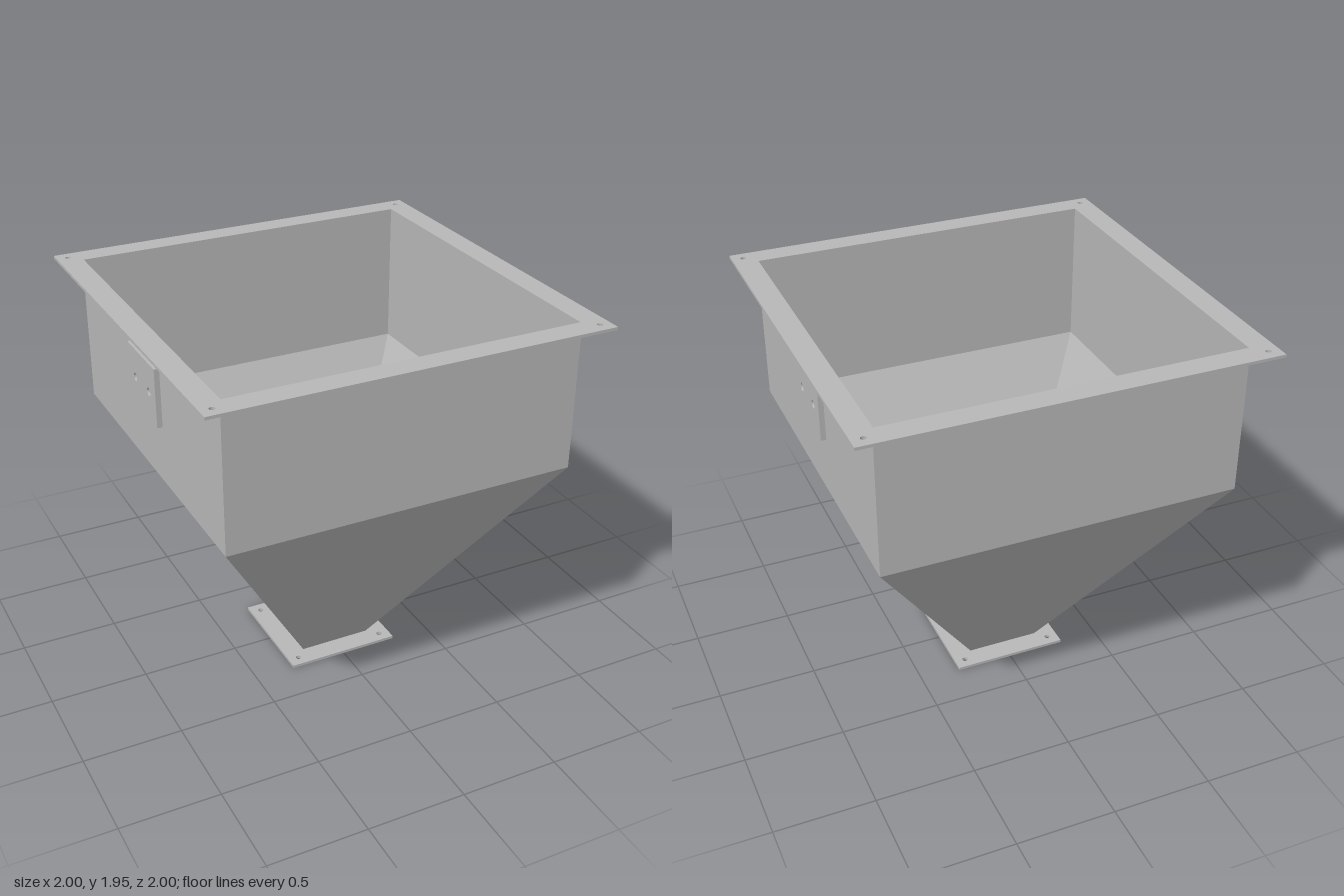
import * as THREE from 'three';

const steel = new THREE.MeshStandardMaterial({ color: 0xb8b8b8 });
steel.name = 'grey steel';

function rectPath(path, w, h) {
  path.moveTo(-w, -h);
  path.lineTo(w, -h);
  path.lineTo(w, h);
  path.lineTo(-w, h);
  path.closePath();
  return path;
}

function boltHole(x, y, r) {
  return new THREE.Path().absarc(x, y, r, 0, Math.PI * 2, true);
}

// Flat plate with half sizes w and h, cut by the given holes
function plate(name, w, h, depth, holes) {
  const shape = rectPath(new THREE.Shape(), w, h);
  shape.holes.push(...holes);
  const geometry = new THREE.ExtrudeGeometry(shape, { depth, bevelEnabled: false, curveSegments: 10 });
  const mesh = new THREE.Mesh(geometry, steel);
  mesh.name = name;
  return mesh;
}

// Square ring lying flat, with a bolt hole in each corner
function flange(name, outer, inner, boltAt, boltRadius, y, depth) {
  const holes = [rectPath(new THREE.Path(), inner, inner)];
  for (const sx of [-1, 1]) {
    for (const sy of [-1, 1]) holes.push(boltHole(sx * boltAt, sy * boltAt, boltRadius));
  }
  const mesh = plate(name, outer, outer, depth, holes);
  mesh.rotation.x = -Math.PI / 2;
  mesh.position.y = y;
  return mesh;
}

export function createModel() {
  const group = new THREE.Group();
  group.name = 'hopper';

  // Thin square shell: outside going up, then inside going down
  const profile = [
    [0.179, 0.014], [0.186, 0.014], [0.887, 1.2], [0.887, 1.934],
    [0.881, 1.934], [0.881, 1.202], [0.179, 0.014],
  ].map(([half, y]) => new THREE.Vector2(half * Math.SQRT2, y));
  const shellGeometry = new THREE.LatheGeometry(profile, 4, Math.PI / 4).toNonIndexed();
  shellGeometry.computeVertexNormals();
  const shell = new THREE.Mesh(shellGeometry, steel);
  shell.name = 'hopperShell';
  group.add(shell);

  // Inlet and outlet flanges
  group.add(flange('topFlange', 1, 0.881, 0.943, 0.014, 1.933, 0.015));
  group.add(flange('bottomFlange', 0.294, 0.179, 0.24, 0.014, 0, 0.015));

  // Mounting plates on both sides
  for (const side of [-1, 1]) {
    const holes = [-0.088, 0.088].map((x) => boltHole(x, 0, 0.021));
    const mount = plate(side > 0 ? 'leftMountingPlate' : 'rightMountingPlate', 0.175, 0.148, 0.026, holes);
    mount.rotation.y = side * Math.PI / 2;
    mount.position.set(side * 0.887, 1.642, 0);
    group.add(mount);
  }

  return group;
}
